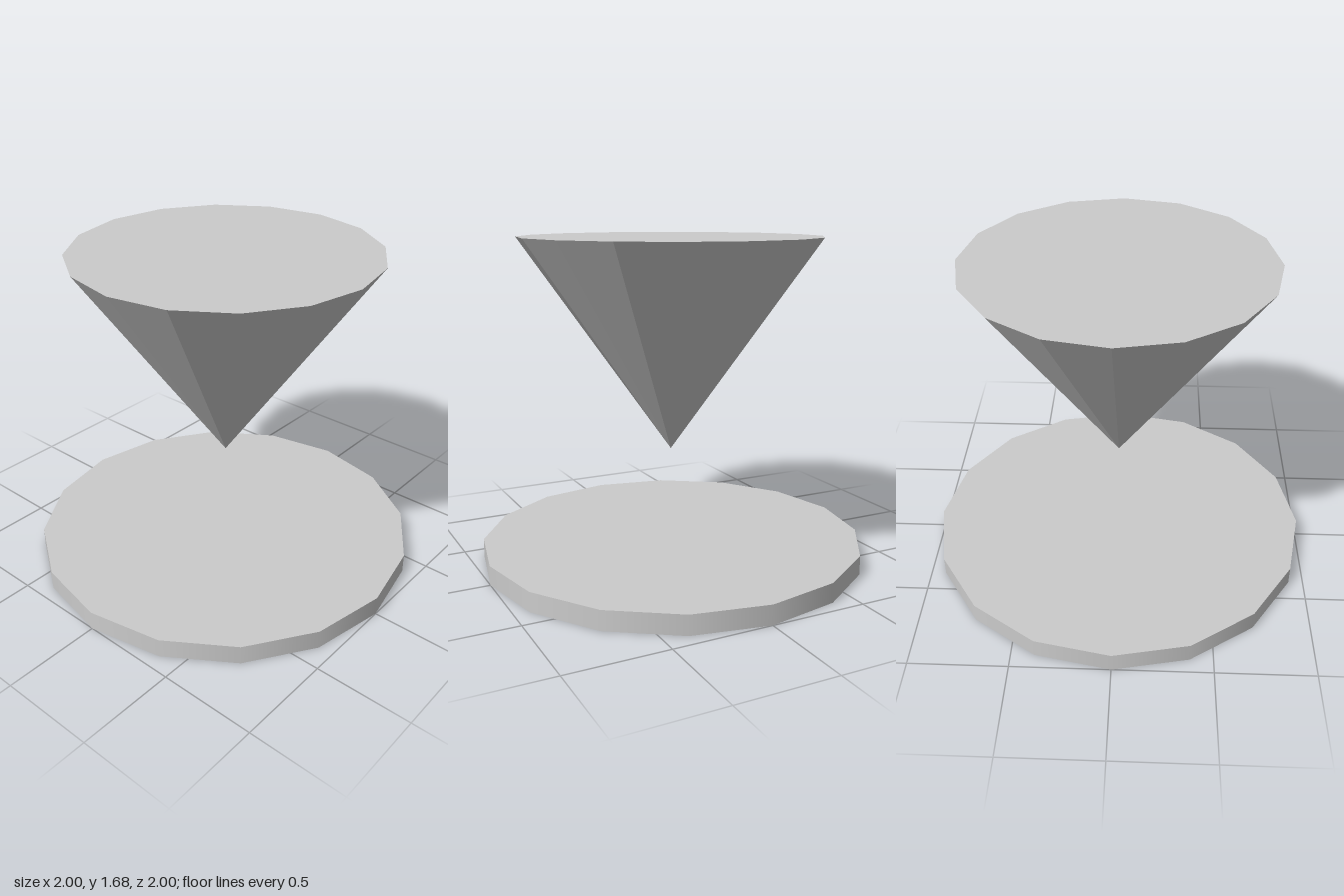
import * as THREE from 'three';

const SIDES = 16;

export function createModel() {
  const group = new THREE.Group();

  // Round base plate with softly shaded rim
  const base = new THREE.Mesh(
    new THREE.CylinderGeometry(1, 1, 0.1, SIDES),
    new THREE.MeshStandardMaterial({ color: 0xcccccc })
  );
  base.name = 'basePlate';
  base.position.y = 0.05;
  group.add(base);

  // Faceted cone floating point-down above the plate
  const height = 1.1;
  const cone = new THREE.Mesh(
    new THREE.CylinderGeometry(0.775, 0, height, SIDES),
    new THREE.MeshStandardMaterial({ color: 0xcccccc, flatShading: true })
  );
  cone.name = 'invertedCone';
  cone.position.set(0, 0.58 + height / 2, 0.007);
  group.add(cone);

  return group;
}
